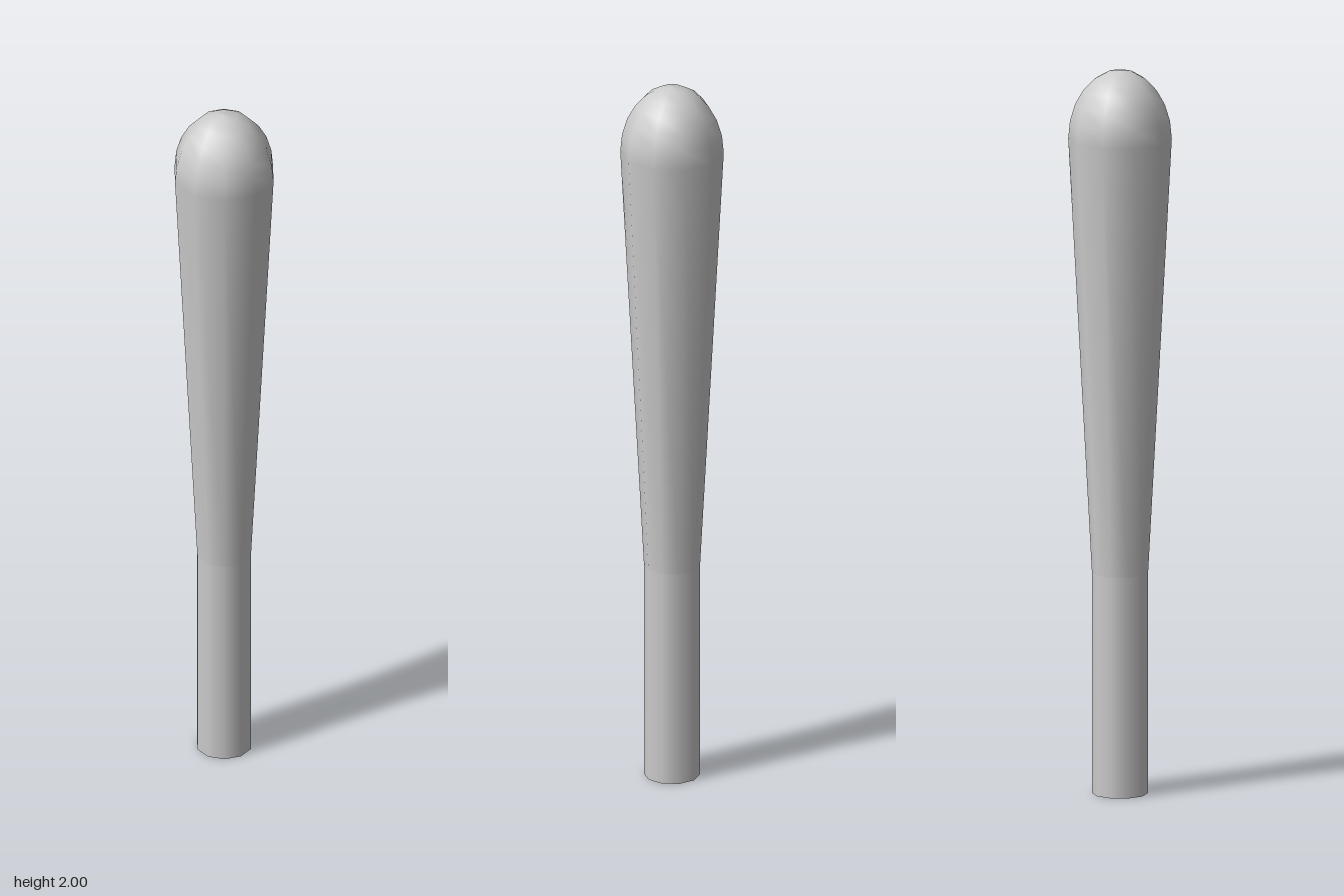
import * as THREE from 'three';

const SIDES = 10;

export function createModel() {
  const group = new THREE.Group();
  group.name = 'club';
  const material = new THREE.MeshStandardMaterial({ color: 0xcccccc });

  const add = (name, geometry) => {
    const mesh = new THREE.Mesh(geometry, material);
    mesh.name = name;
    group.add(mesh);
    return mesh;
  };
  // Ten-sided turned part with corners on the x axis
  const turned = (points) =>
    new THREE.LatheGeometry(points.map(([r, y]) => new THREE.Vector2(r, y)), SIDES, Math.PI / 2);

  // Straight grip
  add('handle', turned([[0.076, 0], [0.076, 0.61]]));

  // Flat end of the grip
  const cap = new THREE.CircleGeometry(0.076, SIDES);
  cap.rotateX(Math.PI / 2);
  add('handleEnd', cap);

  // Widening barrel closed by a rounded tip
  const barrel = [[0.076, 0.61], [0.14, 1.81]];
  const steps = 6;
  for (let i = 1; i <= steps; i++) {
    const a = (i / steps) * Math.PI / 2;
    barrel.push([i === steps ? 0 : 0.14 * Math.cos(a), 1.81 + 0.19 * Math.sin(a)]);
  }
  add('barrel', turned(barrel));

  return group;
}
